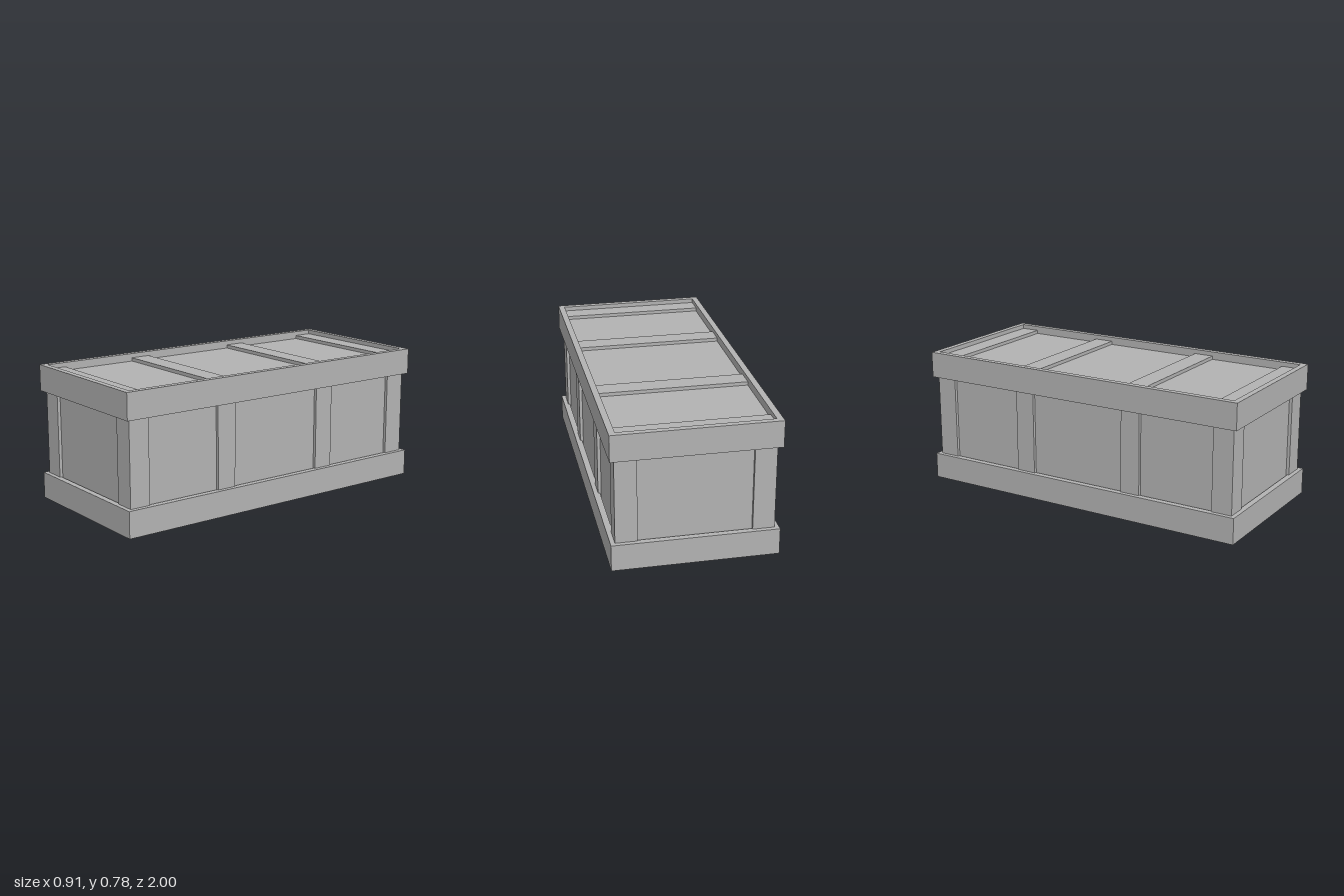
import * as THREE from 'three';

export function createModel() {
  const group = new THREE.Group();
  const grey = new THREE.MeshStandardMaterial({ color: 0xb2b2b2 });
  grey.name = 'plain grey';

  const add = (name, geometry, x, y, z) => {
    const mesh = new THREE.Mesh(geometry, grey);
    mesh.name = name;
    mesh.position.set(x, y, z);
    group.add(mesh);
  };
  // Box given by its centre in x and z, its size, and its bottom and top
  const box = (name, x, z, w, d, y0, y1) =>
    add(name, new THREE.BoxGeometry(w, y1 - y0, d), x, (y0 + y1) / 2, z);

  const rect = (Type, x, z) => new Type([
    new THREE.Vector2(-x, -z), new THREE.Vector2(x, -z),
    new THREE.Vector2(x, z), new THREE.Vector2(-x, z),
  ]);

  // Open rectangular bands around the foot and the lid
  const bandShape = rect(THREE.Shape, 0.455, 1);
  bandShape.holes.push(rect(THREE.Path, 0.42, 0.966));
  const bandGeometry = new THREE.ExtrudeGeometry(bandShape, { depth: 0.15, bevelEnabled: false });
  bandGeometry.rotateX(-Math.PI / 2);
  add('footBand', bandGeometry, 0, 0, 0);
  add('lidBand', bandGeometry, 0, 0.63, 0);

  // Recessed body with floor and lid boards fitted inside the bands
  box('body', 0, 0, 0.824, 1.914, 0.09, 0.72);
  box('floorBoard', 0, 0, 0.85, 1.945, 0.07, 0.1);
  box('lidBoard', 0, 0, 0.85, 1.945, 0.7, 0.735);

  for (const sz of [-1, 1]) {
    // Battens across the lid
    box('endLidBatten', 0, sz * 0.915, 0.85, 0.12, 0.73, 0.755);
    box('middleLidBatten', 0, sz * 0.35, 0.85, 0.116, 0.73, 0.755);
    for (const sx of [-1, 1]) {
      // Corner posts and upright side battens
      box('cornerPost', sx * 0.37, sz * 0.915, 0.12, 0.12, 0.09, 0.71);
      box('sideBatten', sx * 0.405, sz * 0.35, 0.05, 0.116, 0.09, 0.71);
    }
  }
  return group;
}
